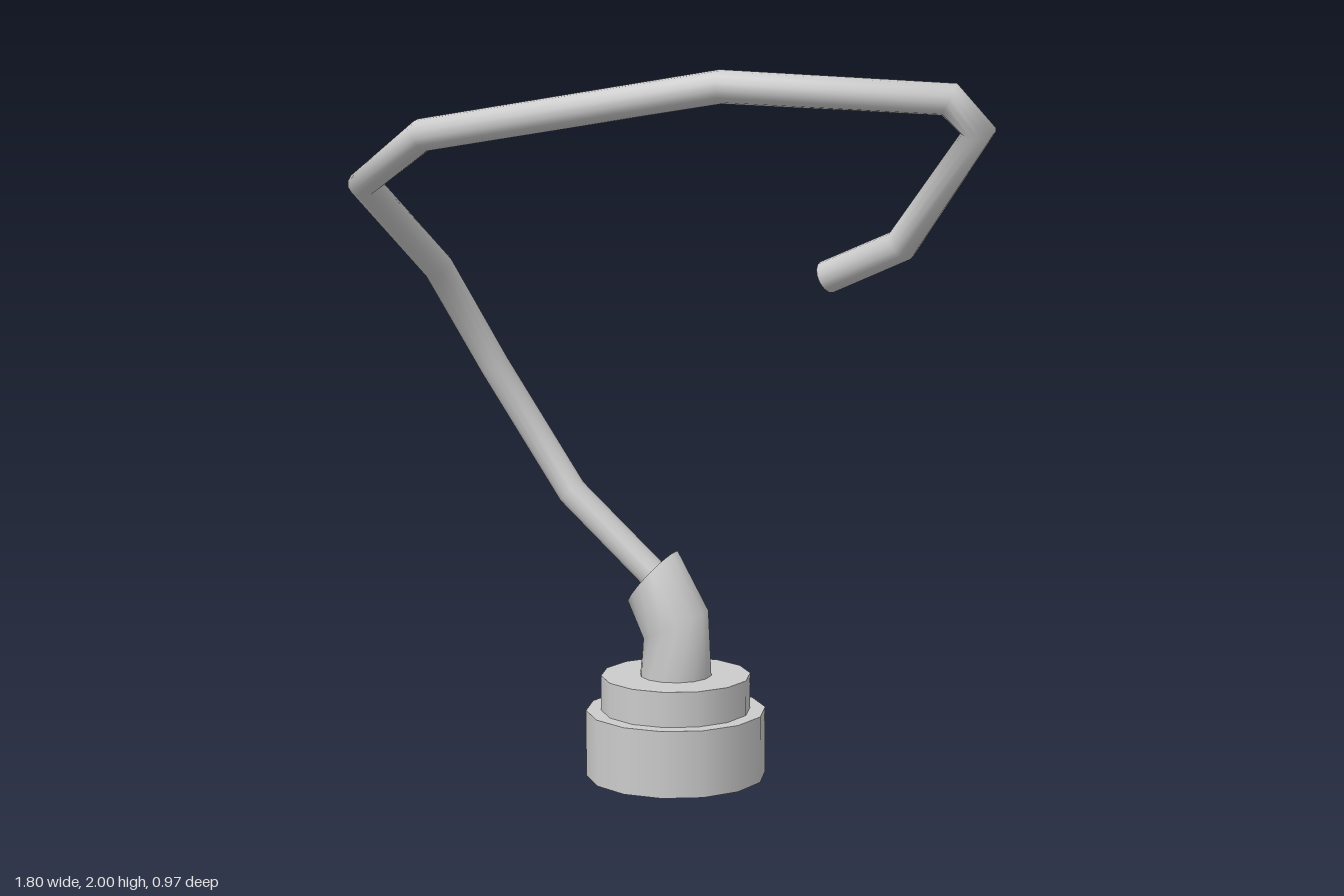
import * as THREE from 'three';

const V = (x, y, z) => new THREE.Vector3(x, y, z);
const material = new THREE.MeshStandardMaterial({ color: 0xcccccc, side: THREE.DoubleSide });
const BASE_X = -0.147, BASE_Z = -0.237, SIDES = 14;

// A path whose rings sit exactly on the given points, turned halfway at each bend
class BentPath extends THREE.Curve {
  constructor(points, tangents) {
    super();
    this.points = points;
    this.tangents = tangents || points.map((p, i) => {
      const t = V(0, 0, 0);
      if (i > 0) t.add(p.clone().sub(points[i - 1]).normalize());
      if (i < points.length - 1) t.add(points[i + 1].clone().sub(p).normalize());
      return t.normalize();
    });
  }
  index(u) { return Math.round(u * (this.points.length - 1)); }
  getPoint(u) { return this.points[this.index(u)].clone(); }
  getPointAt(u) { return this.getPoint(u); }
  getTangent(u) { return this.tangents[this.index(u)].clone(); }
  getTangentAt(u) { return this.getTangent(u); }
}

// Bent tube with a flat cap at each end
function bentTube(name, path, radius) {
  const group = new THREE.Group();
  group.name = name;
  const tube = new THREE.Mesh(
    new THREE.TubeGeometry(path, path.points.length - 1, radius, SIDES), material);
  tube.name = name + 'Tube';
  group.add(tube);
  for (const u of [0, 1]) {
    const cap = new THREE.Mesh(new THREE.CircleGeometry(radius, SIDES), material);
    cap.name = name + (u ? 'EndCap' : 'StartCap');
    cap.position.copy(path.getPoint(u));
    cap.quaternion.setFromUnitVectors(V(0, 0, 1), path.getTangent(u).multiplyScalar(u ? 1 : -1));
    group.add(cap);
  }
  return group;
}

// Open-bottomed collar with a flat top, optionally pierced
function collar(name, radius, y0, y1, hole) {
  const group = new THREE.Group();
  group.name = name;
  const wall = new THREE.Mesh(
    new THREE.CylinderGeometry(radius, radius, y1 - y0, SIDES, 1, true, Math.PI / 2), material);
  wall.name = name + 'Wall';
  wall.position.y = (y0 + y1) / 2;
  const top = new THREE.Mesh(new THREE.RingGeometry(hole, radius, SIDES), material);
  top.name = name + 'Top';
  top.rotation.x = -Math.PI / 2;
  top.position.y = y1;
  group.add(wall, top);
  group.position.set(BASE_X, 0, BASE_Z);
  return group;
}

export function createModel() {
  const model = new THREE.Group();
  model.name = 'bentArmOnBase';

  // Stepped base
  model.add(collar('lowerBase', 0.255, 0, 0.19, 0.21));
  model.add(collar('upperBase', 0.212, 0.19, 0.29, 0.09));

  // Short thick neck, leaning towards -x
  const lean = a => V(-Math.sin(a), Math.cos(a), 0);
  model.add(bentTube('neck', new BentPath(
    [V(BASE_X, 0.285, BASE_Z), V(BASE_X, 0.435, BASE_Z), V(-0.215, 0.567, BASE_Z)],
    [lean(0), lean(0.44), lean(0.86)]), 0.102));

  // Long thin arm, sweeping up, across and back down
  model.add(bentTube('arm', new BentPath([
    V(-0.18, 0.54, -0.24),
    V(-0.465, 0.795, -0.24),
    V(-0.705, 1.15, -0.237),
    V(-0.775, 1.445, -0.03),
    V(-0.862, 1.69, 0.235),
    V(-0.58, 1.833, 0.44),
    V(0.2, 1.962, 0.333),
    V(0.795, 1.938, 0.33),
    V(0.858, 1.86, 0.287),
    V(0.63, 1.565, 0.178),
    V(0.415, 1.472, 0.12),
  ]), 0.043));

  return model;
}
